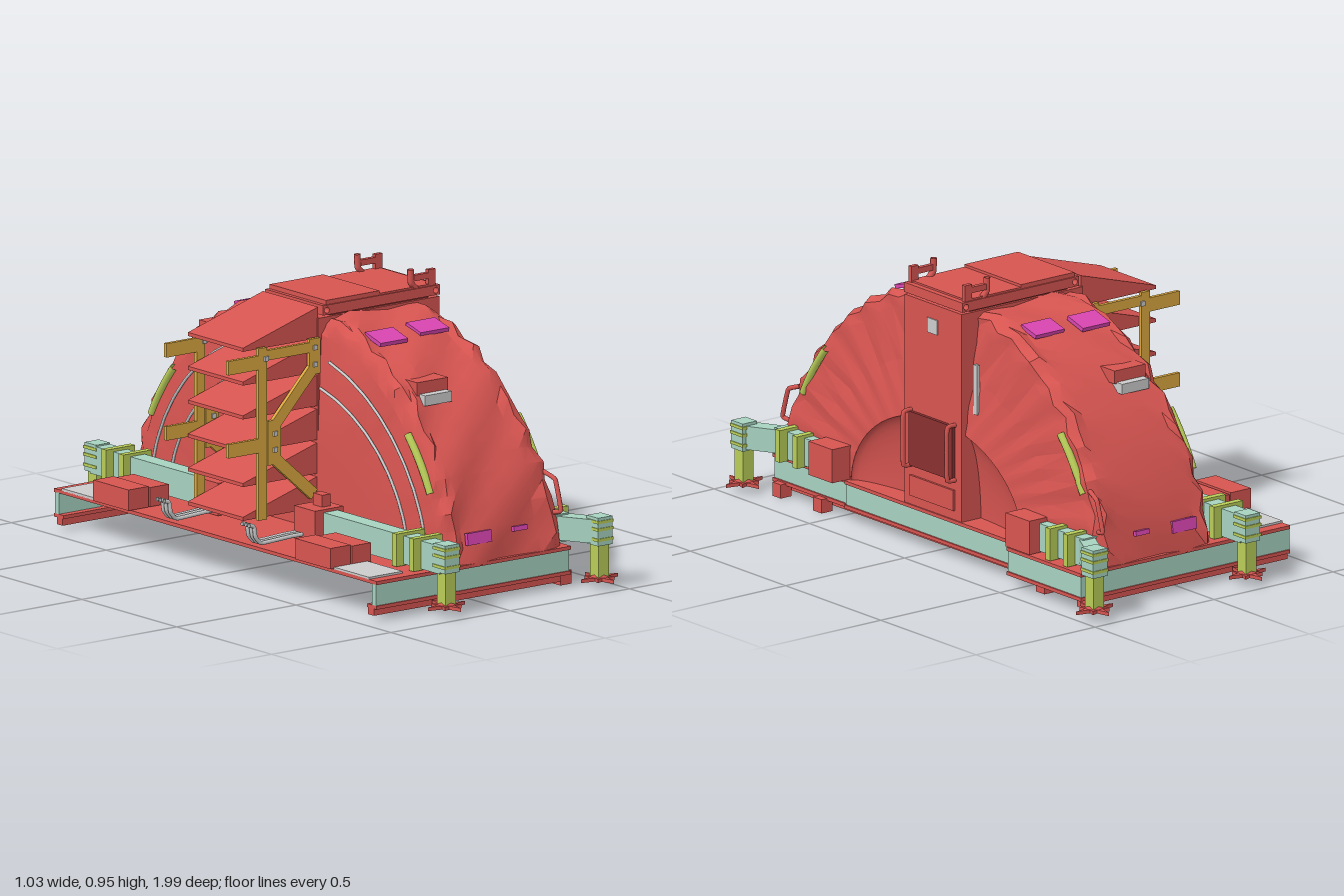
import * as THREE from 'three';
import { toCreasedNormals } from 'three/addons/utils/BufferGeometryUtils.js';

const mat = (color) => new THREE.MeshStandardMaterial({ color, side: THREE.DoubleSide });
const RED = mat(0xd65450), DARK = mat(0x8a3030), TEAL = mat(0xa6d2c0), YELLOW = mat(0xdba840),
  GREEN = mat(0xb8cc58), PINK = mat(0xd845b0), GREY = mat(0xcccccc);

function add(parent, name, geo, material) {
  const m = new THREE.Mesh(geo, material);
  m.name = name;
  parent.add(m);
  return m;
}

// Box given by its limits on each axis
function box(parent, name, material, x0, x1, y0, y1, z0, z1) {
  const m = add(parent, name, new THREE.BoxGeometry(x1 - x0, y1 - y0, Math.abs(z1 - z0)), material);
  m.position.set((x0 + x1) / 2, (y0 + y1) / 2, (z0 + z1) / 2);
  return m;
}

// Flat bar between two points [x, z], lying on the deck
function bar(parent, name, material, a, b, w, y0, y1) {
  const dx = b[0] - a[0], dz = b[1] - a[1];
  const m = add(parent, name, new THREE.BoxGeometry(w, y1 - y0, Math.hypot(dx, dz)), material);
  m.position.set((a[0] + b[0]) / 2, (y0 + y1) / 2, (a[1] + b[1]) / 2);
  m.rotation.y = Math.atan2(dx, dz);
}

// Upright strut between two points [x, y] at depth z
function strut(parent, name, a, b, w, z) {
  const dx = b[0] - a[0], dy = b[1] - a[1];
  const m = add(parent, name, new THREE.BoxGeometry(Math.hypot(dx, dy), w, 0.014), YELLOW);
  m.position.set((a[0] + b[0]) / 2, (a[1] + b[1]) / 2, z);
  m.rotation.z = Math.atan2(dy, dx);
}

function tube(parent, name, material, pts, r) {
  const c = new THREE.CatmullRomCurve3(pts.map((p) => new THREE.Vector3(...p)), false, 'catmullrom', 0.15);
  add(parent, name, new THREE.TubeGeometry(c, 28, r, 8), material);
}

// Outline of the quarter arch: z and y at angle t, k = 0 hub to 1 rim
function arch(t, k) {
  const r = 0.7 - 0.035 * Math.sin(2 * t) + 0.022 * Math.sin(t) ** 4;
  const zo = 0.15 + r * Math.cos(t), yo = 0.13 + r * Math.sin(t);
  const zi = 0.45 * Math.cos(t), yi = 0.13 + 0.32 * Math.sin(t);
  return [zi + (zo - zi) * k, yi + (yo - yi) * k];
}

// Crumpled arch shell swept from cross-sections, with fan-like flanks
function shellGeometry(s) {
  const rows = [[0.365, 0], [0.35, 0.45], [0.335, 0.86], [0.33, 0.95], [0.3, 0.995], [0.25, 0.98], [0.17, 0.99],
    [0.08, 0.98], [0, 0.99], [-0.06, 0.98], [-0.095, 0.995], [-0.115, 0.95], [-0.13, 0.86], [-0.13, 0]];
  const N = 18, pos = [], idx = [];
  for (let i = 0; i <= N; i++) {
    const t = (i / N) * Math.PI / 2;
    rows.forEach(([x, k], j) => {
      const middle = j > 4 && j < 10, rim = j > 1 && j < 12;
      const dent = middle ? 0.025 * Math.sin(i * 1.1 + j * 1.7) : rim ? (i % 2 ? 0.015 : -0.02) : 0;
      const [z, y] = arch(t, k + dent);
      const jog = rim && !middle ? 0.008 * Math.sin(i * 2.3 + j) : j === 1 ? (i % 2 ? 0.006 : -0.006) : 0;
      const taper = (j && j < 5 ? 0.02 - 0.04 * Math.sin(t) : j > 9 && j < 13 ? 0.015 * Math.sin(t) : 0);
      pos.push(x + jog + taper, y, z * s);
    });
  }
  const M = rows.length;
  for (let i = 0; i < N; i++) for (let j = 0; j < M - 1; j++) {
    const a = i * M + j, b = a + M;
    if (s > 0) idx.push(a, b, a + 1, b, b + 1, a + 1);
    else idx.push(a, a + 1, b, b, a + 1, b + 1);
  }
  const g = new THREE.BufferGeometry();
  g.setAttribute('position', new THREE.Float32BufferAttribute(pos, 3));
  g.setIndex(idx);
  return toCreasedNormals(g, 0.5);
}

// Thin patch lying on the arch shell
function patch(parent, name, x0, x1, t, h, s) {
  const [z, y] = arch(t, 1.002);
  const m = add(parent, name, new THREE.BoxGeometry(x1 - x0, 0.014, h), PINK);
  m.position.set((x0 + x1) / 2, y, z * s);
  m.rotation.x = s * (Math.PI / 2 - t);
}

// Jack leg with a spiked foot
function jack(parent, x, z) {
  const g = new THREE.Group();
  g.name = 'jackLeg';
  g.position.set(x, 0, z);
  box(g, 'legPost', GREEN, -0.022, 0.022, 0.04, 0.235, -0.022, 0.022);
  box(g, 'legHead', TEAL, -0.03, 0.03, 0.15, 0.245, -0.03, 0.03);
  for (const y of [0.165, 0.2, 0.225]) box(g, 'legBand', GREEN, -0.033, 0.033, y, y + 0.01, -0.033, 0.033);
  const star = new THREE.Shape();
  for (let i = 0; i < 16; i++) {
    const r = i % 2 ? 0.03 : i % 4 ? 0.05 : 0.077, a = i * Math.PI / 8;
    star[i ? 'lineTo' : 'moveTo'](r * Math.cos(a), r * Math.sin(a));
  }
  const foot = new THREE.ExtrudeGeometry(star, { depth: 0.012, bevelEnabled: false }).rotateX(-Math.PI / 2);
  add(g, 'spikedFoot', foot, RED).position.y = 0.028;
  add(g, 'footCone', new THREE.ConeGeometry(0.035, 0.03, 8), RED).position.y = 0.052;
  parent.add(g);
}

// Everything that repeats on the front and back halves
function half(s) {
  const g = new THREE.Group();
  g.name = s > 0 ? 'frontHalf' : 'backHalf';
  const b = (name, m, x0, x1, y0, y1, z0, z1) => box(g, name, m, x0, x1, y0, y1, z0 * s, z1 * s);
  add(g, 'archShell', shellGeometry(s), RED);

  // Patches and recessed lamp
  patch(g, 'upperPatch', -0.055, 0.06, 1.29, 0.085, s);
  patch(g, 'upperPatch', 0.125, 0.245, 1.31, 0.08, s);
  patch(g, 'lowerPatch', -0.053, 0.048, 0.13, 0.04, s);
  patch(g, 'lowerPatch', 0.143, 0.2, 0.14, 0.016, s);
  b('lampHood', RED, -0.052, 0.078, 0.655, 0.7, 0.5, 0.575);
  b('lampPanel', GREY, -0.042, 0.07, 0.625, 0.66, 0.53, 0.605);

  // Curved strips on the flanks and guide rails on the right flank
  for (const [x, k, r, m, t0, t1] of [[0.337, 0.88, 0.013, GREEN, 0.38, 0.72], [-0.123, 0.88, 0.013, GREEN, 0.38, 0.72],
    [-0.132, 0.7, 0.005, GREY, 0.1, 1.4], [-0.132, 0.45, 0.005, GREY, 0.1, 1.4]]) {
    const pts = [];
    for (let i = 0; i <= 8; i++) {
      const [z, y] = arch(t0 + (t1 - t0) * i / 8, k);
      pts.push([x, y, z * s]);
    }
    tube(g, 'flankStrip', m, pts, r);
  }
  tube(g, 'grabHandle', RED, [[0.33, 0.25, 0.8], [0.34, 0.26, 0.84], [0.34, 0.36, 0.81], [0.33, 0.38, 0.76]]
    .map(([x, y, z]) => [x, y, z * s]), 0.008);

  // Stabiliser arms, bands and jacks
  bar(g, 'longArm', TEAL, [-0.203, 0.25 * s], [-0.203, 0.92 * s], 0.06, 0.145, 0.24);
  bar(g, 'shortArm', TEAL, [0.368, 0.55 * s], [0.368, 0.81 * s], 0.06, 0.145, 0.24);
  bar(g, 'shortArmTip', TEAL, [0.368, 0.79 * s], [0.438, 0.92 * s], 0.055, 0.155, 0.235);
  for (const [x, z, w] of [[-0.203, 0.72, 0.06], [-0.203, 0.81, 0.06], [0.38, 0.665, 0.05], [0.38, 0.755, 0.05]])
    b('armBand', GREEN, x - w, x + w, 0.14, 0.25, z - 0.012, z + 0.012);
  jack(g, -0.203, 0.92 * s);
  jack(g, 0.438, 0.92 * s);
  b('armSocket', RED, 0.32, 0.44, 0.14, 0.255, 0.455, 0.58);
  b('armMount', RED, -0.27, -0.15, 0.14, 0.25, 0.2, 0.31);
  b('armMountCap', RED, -0.215, -0.18, 0.25, 0.29, 0.23, 0.28);

  // Deck boxes, plates and pipes
  b('deckBox', RED, -0.455, -0.37, 0.14, 0.21, 0.44, 0.625);
  b('deckBox', RED, -0.365, -0.285, 0.14, 0.205, 0.44, 0.625);
  b('deckPlate', GREY, -0.44, -0.3, 0.136, 0.145, 0.625, 0.81);
  for (const d of [0.205, 0.225, 0.242])
    tube(g, 'bentPipe', GREY, [[-0.26, 0.16, d * s], [-0.32, 0.16, d * s], [-0.44, 0.155, d * s],
      [-0.465, 0.18, d * s], [-0.47, 0.215, d * s], [-0.492, 0.222, d * s]], 0.007);

  // Yellow bracket frame
  const z = 0.163 * s;
  for (const [a, c, w] of [[[-0.377, 0.21], [-0.377, 0.79], 0.034], [[-0.39, 0.762], [-0.14, 0.762], 0.034],
    [[-0.158, 0.67], [-0.158, 0.79], 0.046], [[-0.158, 0.695], [-0.325, 0.52], 0.04],
    [[-0.328, 0.39], [-0.328, 0.54], 0.055], [[-0.325, 0.41], [-0.16, 0.265], 0.04],
    [[-0.52, 0.742], [-0.38, 0.742], 0.047], [[-0.52, 0.462], [-0.38, 0.462], 0.047]])
    strut(g, 'bracketStrut', a, c, w, z);
  for (const [x, y] of [[-0.158, 0.76], [-0.158, 0.703], [-0.363, 0.752], [-0.325, 0.494], [-0.325, 0.44]])
    b('bracketBolt', GREY, x - 0.008, x + 0.008, y - 0.008, y + 0.008, 0.15, 0.176);

  // Lifting lug, side rail and small feet
  tube(g, 'liftHook', RED, [[0.29, 0.885, 0.14 * s], [0.268, 0.91, 0.14 * s], [0.266, 0.955, 0.14 * s]], 0.011);
  b('liftBar', RED, 0.27, 0.365, 0.915, 0.935, 0.132, 0.148);
  b('liftPost', RED, 0.335, 0.365, 0.885, 0.945, 0.132, 0.148);
  tube(g, 'sideRail', RED, [[0.375, 0.275, 0.115 * s], [0.41, 0.275, 0.115 * s], [0.415, 0.3, 0.115 * s],
    [0.415, 0.44, 0.115 * s], [0.41, 0.463, 0.115 * s], [0.375, 0.463, 0.115 * s]], 0.008);
  for (const f of [0.585, 0.8]) b('smallFoot', RED, 0.352, 0.398, 0.003, 0.05, f - 0.022, f + 0.022);

  // End beam of the base
  const end = s > 0 ? 0.37 : 0.435;
  b('endBeam', TEAL, -0.44, end, 0.055, 0.128, 0.825, 0.845);
  b('endFlange', RED, -0.44, end, 0.043, 0.055, 0.8, 0.85);
  b('endSkid', RED, -0.44, 0.345, 0.02, 0.043, 0.805, 0.835);
  return g;
}

export function createModel() {
  const root = new THREE.Group();
  root.name = 'archMachine';

  // Base: deck plate with channel beams along the left side, open below
  for (const [x, z0, z1] of [[0.375, 0.46, 0.85], [0.385, -0.46, 0.46], [0.44, -0.85, -0.46]]) {
    box(root, 'deck', RED, -0.44, x, 0.126, 0.138, z0, z1);
    box(root, 'sideBeam', TEAL, x - 0.025, x - 0.006, 0.055, 0.128, Math.max(z0, -0.845), Math.min(z1, 0.845));
    box(root, 'sideFlange', RED, x - 0.05, x, 0.043, 0.055, z0, z1);
  }
  box(root, 'sideSkid', RED, 0.315, 0.345, 0.02, 0.043, -0.83, 0.83);

  // Hollow half-round recess in the left flank and flat cap in the right flank
  const recess = new THREE.SphereGeometry(1, 32, 12, 0, Math.PI, 0, Math.PI / 2);
  recess.rotateX(-Math.PI / 2).rotateY(Math.PI / 2).scale(0.07, 0.32, 0.45);
  add(root, 'hubRecess', recess, RED).position.set(0.365, 0.13, 0);
  const cap = new THREE.Shape().absellipse(0, 0.13, 0.45, 0.32, 0, Math.PI);
  add(root, 'hubCap', new THREE.ShapeGeometry(cap, 32).rotateY(-Math.PI / 2), RED).position.x = -0.13;

  // Central column
  box(root, 'column', RED, -0.13, 0.38, 0.13, 0.85, -0.15, 0.15);
  box(root, 'hoodNeck', DARK, -0.07, 0.34, 0.85, 0.865, -0.14, 0.14);

  // Hood with an eye hole at each end
  const hood = new THREE.Shape();
  hood.moveTo(-0.11, 0.857).lineTo(0.38, 0.857).lineTo(0.38, 0.89).lineTo(-0.11, 0.89);
  for (const x of [-0.094, 0.363]) hood.holes.push(new THREE.Path().absarc(x, 0.873, 0.01, 0, Math.PI * 2));
  add(root, 'hood', new THREE.ExtrudeGeometry(hood, { depth: 0.306, bevelEnabled: false }), RED).position.z = -0.153;
  box(root, 'hoodTop', RED, -0.095, 0.13, 0.89, 0.905, -0.148, 0.148);
  box(root, 'hoodTop', RED, 0.13, 0.36, 0.885, 0.896, -0.148, 0.148);

  // Column panels
  box(root, 'columnHatch', DARK, 0.375, 0.392, 0.275, 0.46, -0.115, 0.115);
  box(root, 'lowerHatch', RED, 0.375, 0.388, 0.17, 0.24, -0.115, 0.115);
  box(root, 'label', GREY, 0.375, 0.384, 0.75, 0.8, -0.025, 0.028);
  box(root, 'gauge', GREY, 0.34, 0.352, 0.51, 0.68, -0.195, -0.175);

  // Sloped louvres on the right flank
  for (let i = 0; i < 6; i++) {
    const y = 0.782 - i * 0.114;
    const wedge = new THREE.Shape();
    wedge.moveTo(-0.44, y).lineTo(-0.125, y).lineTo(-0.125, y + 0.105).lineTo(-0.44, y + 0.012);
    const geo = new THREE.ExtrudeGeometry(wedge, { depth: 0.29, bevelEnabled: false });
    add(root, 'louvre', geo, RED).position.z = -0.145;
  }

  root.add(half(1), half(-1));
  return root;
}
